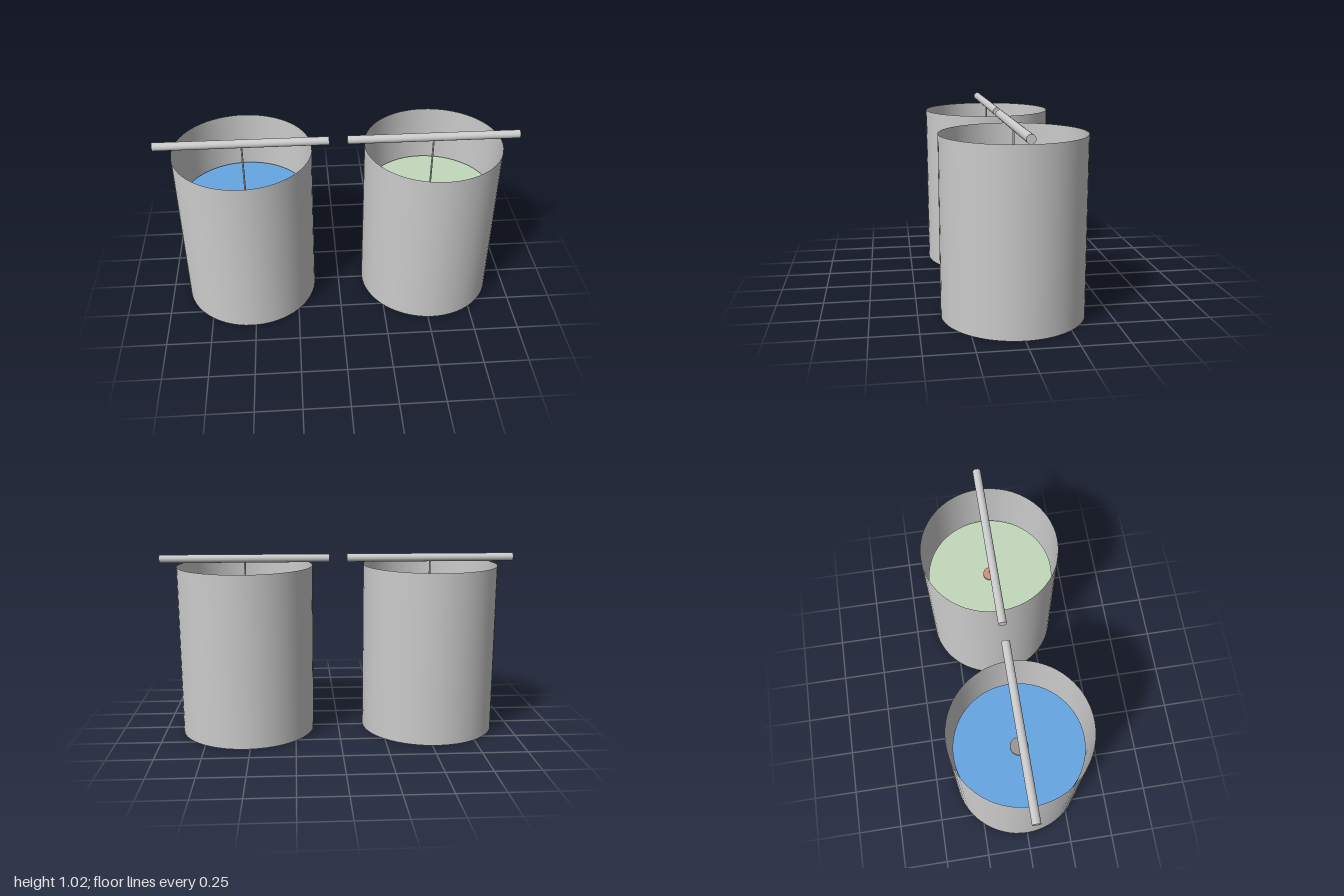
import * as THREE from 'three';

const grey = () => new THREE.MeshStandardMaterial({ color: 0xcccccc });
const tinted = (color) => new THREE.MeshStandardMaterial({ color });

const ROD_Y = 0.993, ROD_R = 0.023, BEAKER_R = 0.38, BEAKER_H = 0.955;
const LIQUID_R = 0.36, LIQUID_TOP = 0.64, BOB_TOP = 0.65;

function add(group, name, geometry, material, y) {
  const mesh = new THREE.Mesh(geometry, material);
  mesh.name = name;
  mesh.position.y = y;
  group.add(mesh);
  return mesh;
}

// Upright cylinder between two heights
function addColumn(group, name, radius, y0, y1, material, segments = 64) {
  return add(group, name, new THREE.CylinderGeometry(radius, radius, y1 - y0, segments), material, (y0 + y1) / 2);
}

function createBeaker(name, liquidColor, bobColor, bobRadius) {
  const group = new THREE.Group();
  group.name = name;

  // Thin open glass wall and its floor
  const glass = grey();
  glass.side = THREE.DoubleSide;
  add(group, 'beakerWall', new THREE.CylinderGeometry(BEAKER_R, BEAKER_R, BEAKER_H, 64, 1, true), glass, BEAKER_H / 2);
  const floor = add(group, 'beakerFloor', new THREE.CircleGeometry(BEAKER_R, 64), glass, 0);
  floor.rotation.x = Math.PI / 2;

  // Liquid filling the lower part
  addColumn(group, 'liquid', LIQUID_R, 0.01, LIQUID_TOP, tinted(liquidColor));

  // Weight hanging at the liquid surface, on a string from the rod
  addColumn(group, 'weight', bobRadius, BOB_TOP - 0.15, BOB_TOP, tinted(bobColor), 32);
  addColumn(group, 'string', 0.005, BOB_TOP, ROD_Y, grey(), 12);

  // Rod lying across the top
  const rod = add(group, 'rod', new THREE.CylinderGeometry(ROD_R, ROD_R, 0.95, 32), grey(), ROD_Y);
  rod.rotation.z = Math.PI / 2;
  return group;
}

export function createModel() {
  const model = new THREE.Group();
  model.name = 'hangingWeightBeakers';
  const right = createBeaker('rightBeaker', 0x66a6e2, 0x9a9894, 0.05);
  right.position.x = -0.525;
  const left = createBeaker('leftBeaker', 0xc2d8ba, 0xd4927c, 0.04);
  left.position.x = 0.525;
  model.add(right, left);
  return model;
}
